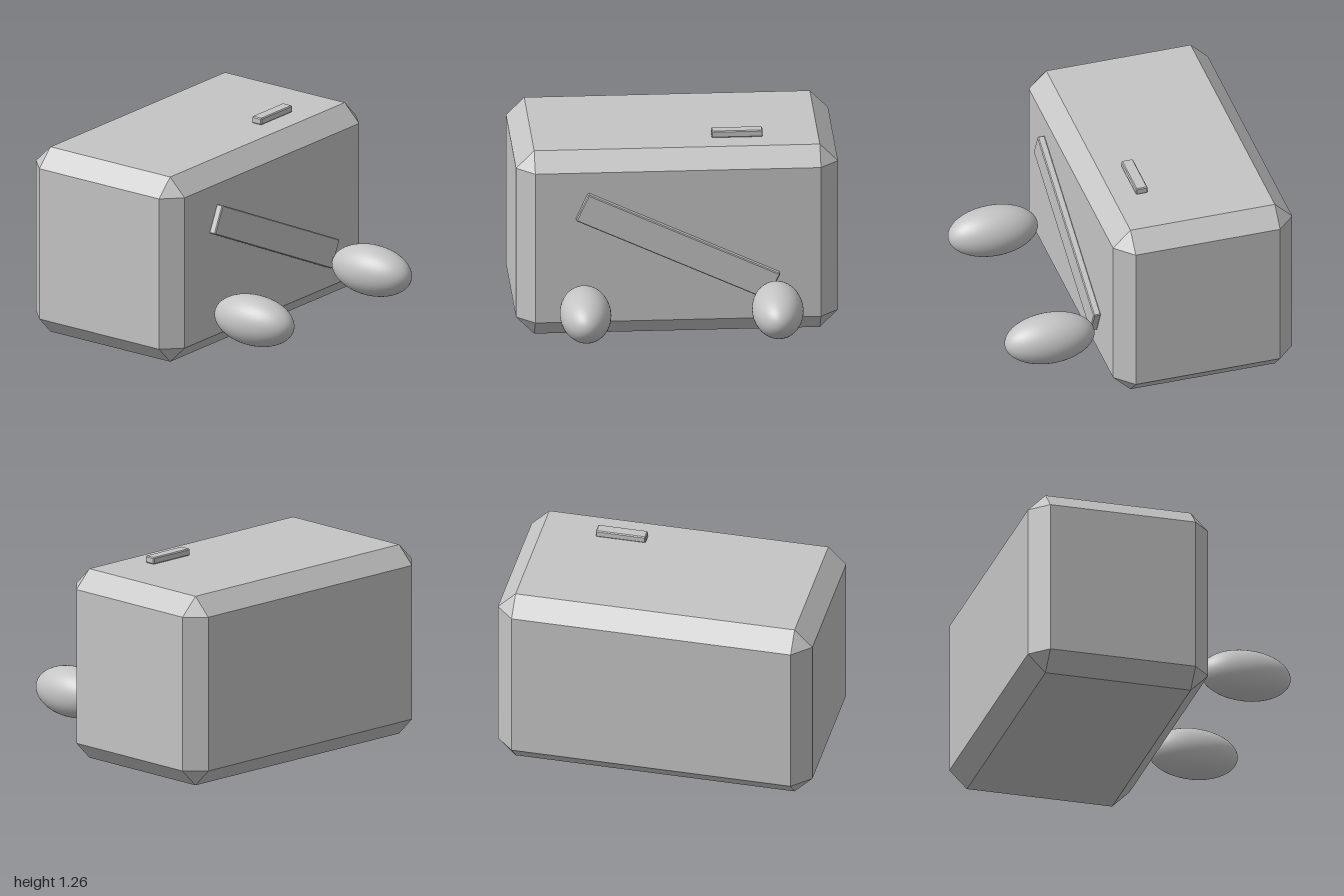
import * as THREE from 'three';
import { ConvexGeometry } from 'three/addons/geometries/ConvexGeometry.js';

// Box with flat chamfers on every edge and triangular corners
function chamferBox(w, h, d, c) {
  const half = [w / 2, h / 2, d / 2];
  const points = [];
  for (const sx of [-1, 1]) for (const sy of [-1, 1]) for (const sz of [-1, 1]) {
    for (let axis = 0; axis < 3; axis++) {
      // each corner gives one point on each of its three faces
      const p = half.map((v, i) => (i === axis ? v : v - c));
      points.push(new THREE.Vector3(p[0] * sx, p[1] * sy, p[2] * sz));
    }
  }
  return new ConvexGeometry(points);
}

export function createModel() {
  const group = new THREE.Group();
  const grey = new THREE.MeshStandardMaterial({ color: 0xc4c4c4 });
  grey.name = 'plain grey';

  const add = (name, geometry, x, y, z) => {
    const mesh = new THREE.Mesh(geometry, grey);
    mesh.name = name;
    mesh.position.set(x, y, z);
    group.add(mesh);
    return mesh;
  };

  // Main body
  add('body', chamferBox(2, 1.212, 1.162, 0.113), 0, 0.606, -0.306);

  // Slanted bar across the front face
  const bar = add('frontBar', chamferBox(1.312, 0.188, 0.047, 0.006), -0.003, 0.608, 0.297);
  bar.rotation.z = THREE.MathUtils.degToRad(-24.9);

  // Small block on the top
  add('topBlock', chamferBox(0.317, 0.044, 0.075, 0.006), 0.384, 1.236, -0.019);

  // Egg-shaped feet reaching forward
  const foot = new THREE.SphereGeometry(1, 48, 32).rotateX(Math.PI / 2).scale(0.159, 0.159, 0.288);
  for (const side of [-1, 1]) {
    add(side > 0 ? 'leftFoot' : 'rightFoot', foot, 0.597 * side, 0.285, 0.598);
  }

  return group;
}
